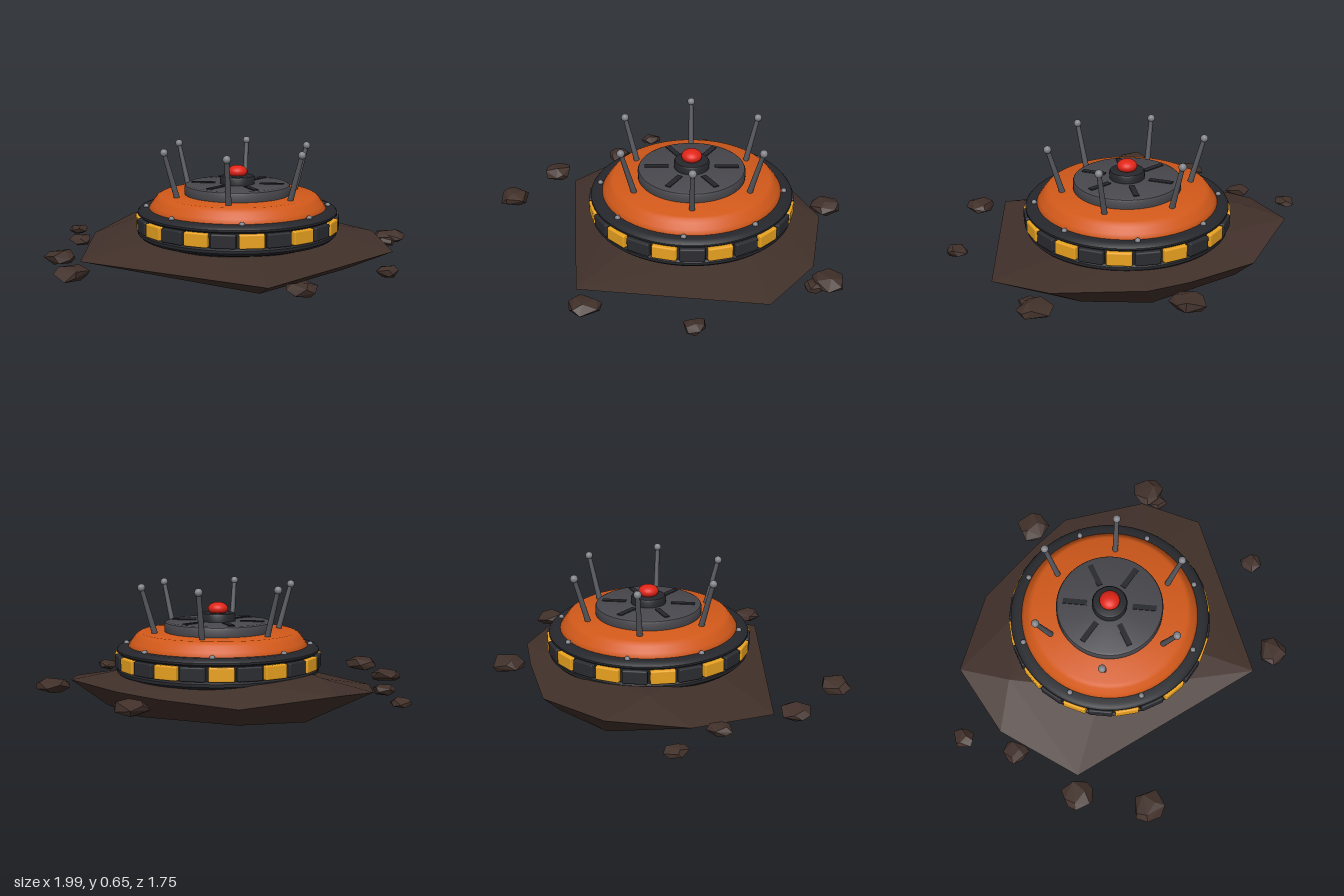
import * as THREE from 'three';
import { toCreasedNormals } from 'three/addons/utils/BufferGeometryUtils.js';
import { ConvexGeometry } from 'three/addons/geometries/ConvexGeometry.js';
import { RoundedBoxGeometry } from 'three/addons/geometries/RoundedBoxGeometry.js';

const mat = (color, flatShading = false) => {
  const m = new THREE.MeshStandardMaterial({ flatShading });
  m.color.set(color);
  return m;
};
const MAT = {
  rock: mat(0x41302a, true), dark: mat(0x26272c), panel: mat(0x2b2c31), orange: mat(0xd2591a),
  yellow: mat(0xe9a21f), grey: mat(0x47474d), red: mat(0xe02417), rod: mat(0x55565c), bolt: mat(0x808288),
};

function add(parent, name, geometry, material, x = 0, y = 0, z = 0) {
  const mesh = new THREE.Mesh(geometry, material);
  mesh.name = name;
  mesh.position.set(x, y, z);
  parent.add(mesh);
  return mesh;
}

// Turned solid from [radius, height] pairs, listed bottom to top
function turned(profile, segments = 64) {
  const points = profile.map(([r, y]) => new THREE.Vector2(r, y));
  return toCreasedNormals(new THREE.LatheGeometry(points, segments), 0.6);
}

// Calls make(holder, i) for each of n holders spaced around the y axis, each facing +z
function around(parent, name, n, offset, make) {
  for (let i = 0; i < n; i++) {
    const holder = new THREE.Group();
    holder.name = name;
    holder.rotation.y = offset + (i / n) * Math.PI * 2;
    parent.add(holder);
    make(holder, i);
  }
}

function seeded(seed) {
  return () => {
    seed = (seed * 16807) % 2147483647;
    return seed / 2147483647;
  };
}

// Angular stone: hull of jittered points spread over a flattened ball
function stone(seed, rx, ry, rz) {
  const rand = seeded(seed * 7919 + 13);
  for (let k = 0; k < 5; k++) rand();
  const points = [];
  const n = 15;
  for (let i = 0; i < n; i++) {
    const h = 1 - (2 * (i + 0.5)) / n;
    const a = i * 2.4 + rand() * 0.9;
    const r = Math.sqrt(1 - h * h);
    points.push(new THREE.Vector3(Math.cos(a) * r, h, Math.sin(a) * r).multiplyScalar(0.85 + rand() * 0.25));
  }
  const geometry = new ConvexGeometry(points);
  // Fit exactly to the wanted size
  geometry.center();
  geometry.computeBoundingBox();
  const b = geometry.boundingBox.max;
  return geometry.scale(rx / b.x, ry / b.y, rz / b.z);
}

function createGround() {
  const ground = new THREE.Group();
  ground.name = 'ground';
  const rim = [
    [-0.21, 0.1, -0.74], [0.2, 0.12, -0.69], [0.44, 0.14, -0.64], [0.8, 0.13, -0.33], [0.91, 0.09, 0.01],
    [0.31, 0.08, 0.775], [-0.745, 0.05, 0.305], [-0.8, 0.1, -0.18], [-0.655, 0.15, -0.57],
  ];
  const bottom = [
    [-0.5, 0, 0.25], [0.25, 0, 0.6], [0.65, 0, 0.08], [0.6, 0, -0.32], [0.34, 0, -0.56],
    [-0.18, 0, -0.64], [-0.49, 0, -0.5], [-0.52, 0, -0.14],
  ];
  const top = [
    [-0.55, 0.185, -0.3], [-0.3, 0.17, 0.15], [0.15, 0.165, 0.3], [0.55, 0.165, -0.1], [0.35, 0.18, -0.4], [-0.2, 0.18, -0.5],
  ];
  const hull = [...rim, ...bottom, ...top].map((p) => new THREE.Vector3(...p));
  add(ground, 'rockSlab', new ConvexGeometry(hull), MAT.rock);

  // Loose stones: x, z, half width, half height, half depth
  const stones = [
    [0.305, -0.79, 0.09, 0.04, 0.09], [-0.945, -0.33, 0.055, 0.027, 0.065],
    [-0.845, -0.05, 0.06, 0.03, 0.065], [-0.835, 0.37, 0.082, 0.037, 0.086],
    [-0.665, 0.72, 0.094, 0.042, 0.086], [0.465, 0.795, 0.074, 0.035, 0.08],
    [0.868, 0.405, 0.056, 0.03, 0.06], [0.9, -0.36, 0.09, 0.04, 0.09],
    [0.885, -0.27, 0.045, 0.025, 0.05],
  ];
  stones.forEach(([x, z, rx, ry, rz], i) => add(ground, 'stone', stone(i + 1, rx, ry, rz), MAT.rock, x, 0.057 + ry, z));
  return ground;
}

function createDevice() {
  const device = new THREE.Group();
  device.name = 'device';
  device.position.set(0.056, 0, -0.045);

  // Outer ring with raised rims and alternating panels
  add(device, 'baseRing', turned([
    [0, 0.13], [0.46, 0.13], [0.5, 0.145], [0.535, 0.155], [0.55, 0.17], [0.55, 0.185], [0.538, 0.195], [0.538, 0.272],
    [0.55, 0.28], [0.55, 0.29], [0.54, 0.302], [0.52, 0.308], [0.47, 0.308], [0, 0.308],
  ], 72), MAT.dark);
  around(device, 'ringPanel', 24, 0, (holder, i) => {
    const yellow = i % 2 === 1;
    add(holder, yellow ? 'yellowPanel' : 'darkPanel',
      new RoundedBoxGeometry(0.13, 0.074, 0.04, 2, 0.008), yellow ? MAT.yellow : MAT.panel, 0, 0.233, 0.54);
  });
  around(device, 'bolt', 8, THREE.MathUtils.degToRad(10), (holder) => {
    add(holder, 'boltHead', new THREE.SphereGeometry(0.015, 14, 10), MAT.bolt, 0, 0.31, 0.503);
  });

  // Orange shell
  add(device, 'shell', turned([
    [0.488, 0.3], [0.488, 0.308], [0.474, 0.33], [0.452, 0.36], [0.44, 0.373], [0.425, 0.38], [0, 0.382],
  ]), MAT.orange);

  // Central plate with radial slots
  add(device, 'plate', turned([
    [0.29, 0.375], [0.292, 0.385], [0.292, 0.42], [0.287, 0.43], [0.275, 0.436], [0, 0.436],
  ]), MAT.grey);
  around(device, 'slot', 6, Math.PI / 6, (holder) => {
    add(holder, 'slotBar', new THREE.BoxGeometry(0.03, 0.012, 0.13), MAT.dark, 0, 0.435, 0.19);
  });

  // Button on its collar
  add(device, 'buttonCollar', turned([
    [0.095, 0.43], [0.096, 0.468], [0.09, 0.478], [0.08, 0.482], [0, 0.482],
  ], 40), MAT.dark);
  add(device, 'button', new THREE.SphereGeometry(0.055, 32, 20), MAT.red, 0, 0.502, 0).scale.y = 0.65;

  // Antennas leaning outwards
  const foot = new THREE.Vector3(0, 0.38, 0.353);
  const tip = new THREE.Vector3(0, 0.626, 0.423);
  const axis = tip.clone().sub(foot);
  around(device, 'antenna', 6, 0, (holder) => {
    const rod = add(holder, 'rod', new THREE.CylinderGeometry(0.012, 0.016, axis.length(), 14), MAT.rod);
    rod.position.copy(foot).lerp(tip, 0.5);
    rod.quaternion.setFromUnitVectors(new THREE.Vector3(0, 1, 0), axis.clone().normalize());
    add(holder, 'antennaTip', new THREE.SphereGeometry(0.021, 18, 12), MAT.bolt, 0, tip.y, tip.z);
  });
  return device;
}

export function createModel() {
  const model = new THREE.Group();
  model.name = 'landMine';
  model.add(createGround(), createDevice());
  return model;
}
